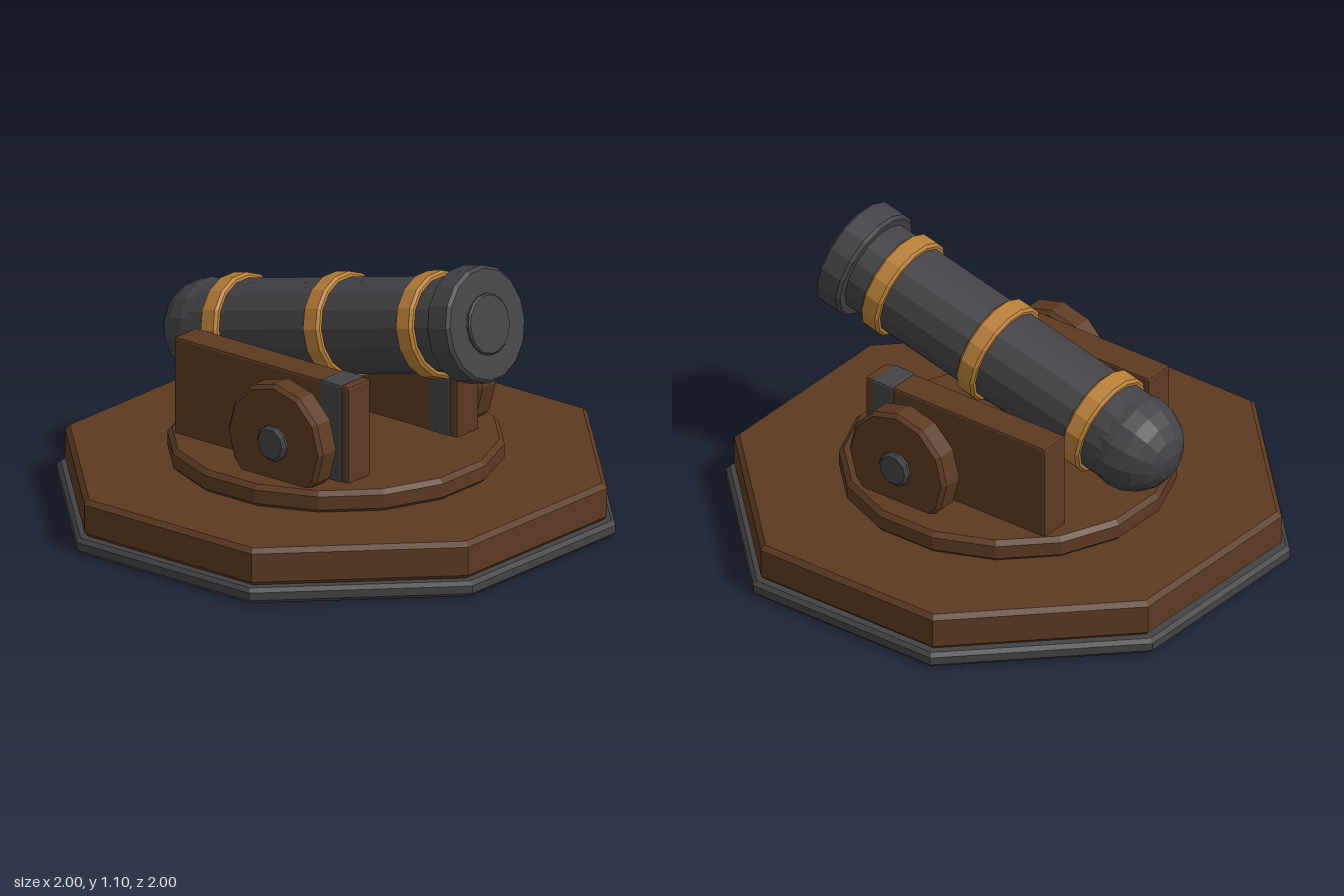
import * as THREE from 'three';
import { RoundedBoxGeometry } from 'three/addons/geometries/RoundedBoxGeometry.js';

const wood = new THREE.MeshStandardMaterial({ color: 0x5c3a21 });
const iron = new THREE.MeshStandardMaterial({ color: 0x434347 });
const brass = new THREE.MeshStandardMaterial({ color: 0xb87f38 });
wood.name = 'wood';
iron.name = 'iron';
brass.name = 'brass';

// Faceted look: every face gets its own normal
function flat(geometry) {
  const g = geometry.index ? geometry.toNonIndexed() : geometry;
  g.computeVertexNormals();
  return g;
}

function add(parent, name, geometry, material) {
  const mesh = new THREE.Mesh(geometry, material);
  mesh.name = name;
  parent.add(mesh);
  return mesh;
}

// Solid disc along y with bevelled rims; turned = flats face the axes
function disc(r, y0, y1, bevel, sides, turned = true) {
  const k = turned ? 1 / Math.cos(Math.PI / sides) : 1;
  const points = [[0, y0], [r - bevel, y0], [r, y0 + bevel], [r, y1 - bevel], [r - bevel, y1], [0, y1]]
    .map(([x, y]) => new THREE.Vector2(x * k, y));
  return flat(new THREE.LatheGeometry(points, sides, turned ? Math.PI / sides : 0));
}

export function createModel() {
  const model = new THREE.Group();
  model.name = 'cannonEmplacement';

  // Stepped base
  add(model, 'basePlate', disc(1, 0, 0.06, 0.015, 8), iron);
  add(model, 'basePlatform', disc(0.97, 0.058, 0.205, 0.018, 8), wood);
  add(model, 'turntable', disc(0.615, 0.2, 0.288, 0.018, 16), wood);

  // Carriage: cheek, strap, wheel and axle on each side
  for (const side of [1, -1]) {
    const half = new THREE.Group();
    half.name = side > 0 ? 'leftCarriage' : 'rightCarriage';
    model.add(half);

    add(half, 'cheek', flat(new RoundedBoxGeometry(0.128, 0.4, 0.84, 1, 0.01)), wood)
      .position.set(side * 0.314, 0.466, -0.045);
    add(half, 'strap', flat(new RoundedBoxGeometry(0.14, 0.4, 0.105, 1, 0.01)), iron)
      .position.set(side * 0.315, 0.47, 0.292);

    const wheel = add(half, 'wheel', disc(0.228, -0.052, 0.052, 0.015, 12, false), wood);
    wheel.rotation.z = Math.PI / 2;
    wheel.position.set(side * 0.461, 0.428, 0.126);

    const axle = add(half, 'axle', disc(0.07, -0.077, 0.077, 0.012, 10, false), iron);
    axle.rotation.z = Math.PI / 2;
    axle.position.set(side * 0.458, 0.428, 0.126);
  }

  // Barrel, built along y from the breech ball and tilted 14 degrees upward
  const barrel = new THREE.Group();
  barrel.name = 'barrel';
  barrel.position.set(0, 0.565, -0.59);
  barrel.rotation.x = THREE.MathUtils.degToRad(76);
  model.add(barrel);

  add(barrel, 'breechBall', flat(new THREE.SphereGeometry(0.187, 14, 10)), iron);
  add(barrel, 'tube', disc(0.177, 0, 1.27, 0.005, 16), iron);
  add(barrel, 'muzzle', disc(0.216, 1.245, 1.358, 0.012, 16), iron);
  add(barrel, 'bore', disc(0.113, 1.3, 1.372, 0.006, 16), iron);
  for (const y of [0.148, 0.655, 1.115]) {
    add(barrel, 'band', disc(0.198, y - 0.041, y + 0.041, 0.01, 16), brass);
  }

  return model;
}
